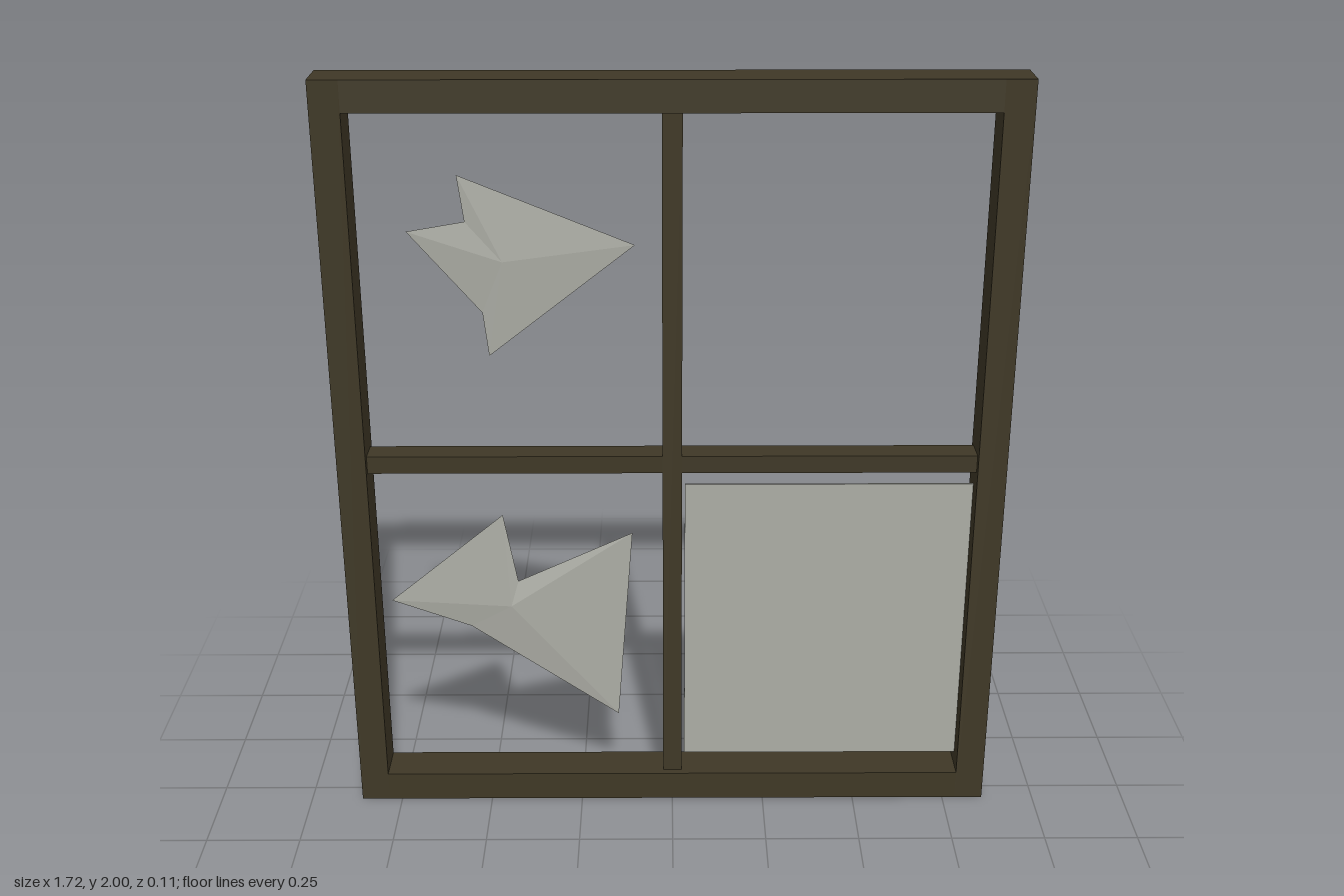
import * as THREE from 'three';

const wood = new THREE.MeshStandardMaterial({ color: 0x3f3826 });
wood.name = 'dark wood';
const glass = new THREE.MeshStandardMaterial({ color: 0xacada5, side: THREE.DoubleSide });
glass.name = 'dusty glass';

// Box given by its x and y limits and its depth, centred on z = 0
function bar(name, x0, x1, y0, y1, depth, material = wood) {
  const mesh = new THREE.Mesh(new THREE.BoxGeometry(x1 - x0, y1 - y0, depth), material);
  mesh.position.set((x0 + x1) / 2, (y0 + y1) / 2, 0);
  mesh.name = name;
  return mesh;
}

// Broken glass: flat back, front rising gently to one inner point
function shard(name, outline, peak) {
  const positions = [];
  outline.forEach((a, i) => {
    const b = outline[(i + 1) % outline.length];
    positions.push(...a, 0, ...peak, 0.012, ...b, 0); // front facet
    positions.push(...a, 0, ...b, 0, ...peak, 0);     // back facet
  });
  const geometry = new THREE.BufferGeometry();
  geometry.setAttribute('position', new THREE.Float32BufferAttribute(positions, 3));
  geometry.computeVertexNormals();
  const mesh = new THREE.Mesh(geometry, glass);
  mesh.name = name;
  return mesh;
}

export function createModel() {
  const model = new THREE.Group();
  model.name = 'brokenWindow';

  // Outer frame
  const W = 0.86, IN = 0.785, DEPTH = 0.11;
  model.add(
    bar('rightStile', -W, -IN, 0, 2, DEPTH),
    bar('leftStile', IN, W, 0, 2, DEPTH),
    bar('bottomRail', -IN, IN, 0, 0.08, DEPTH),
    bar('topRail', -IN, IN, 1.92, 2, DEPTH),
  );

  // Slimmer glazing bars
  model.add(
    bar('verticalBar', -0.025, 0.025, 0.08, 1.92, 0.07),
    bar('crossBarRight', -IN, -0.025, 0.98, 1.027, 0.07),
    bar('crossBarLeft', 0.025, IN, 0.98, 1.027, 0.07),
  );

  // One whole pane and two shards
  model.add(
    bar('pane', 0.033, IN, 0.115, 0.933, 0.006, glass),
    shard('upperShard', [
      [-0.655, 1.615], [-0.51, 1.64], [-0.525, 1.757],
      [-0.092, 1.58], [-0.462, 1.29], [-0.475, 1.405],
    ], [-0.42, 1.54]),
    shard('lowerShard', [
      [-0.75, 0.593], [-0.445, 0.845], [-0.41, 0.65],
      [-0.105, 0.792], [-0.147, 0.24], [-0.54, 0.515],
    ], [-0.43, 0.58]),
  );
  return model;
}
